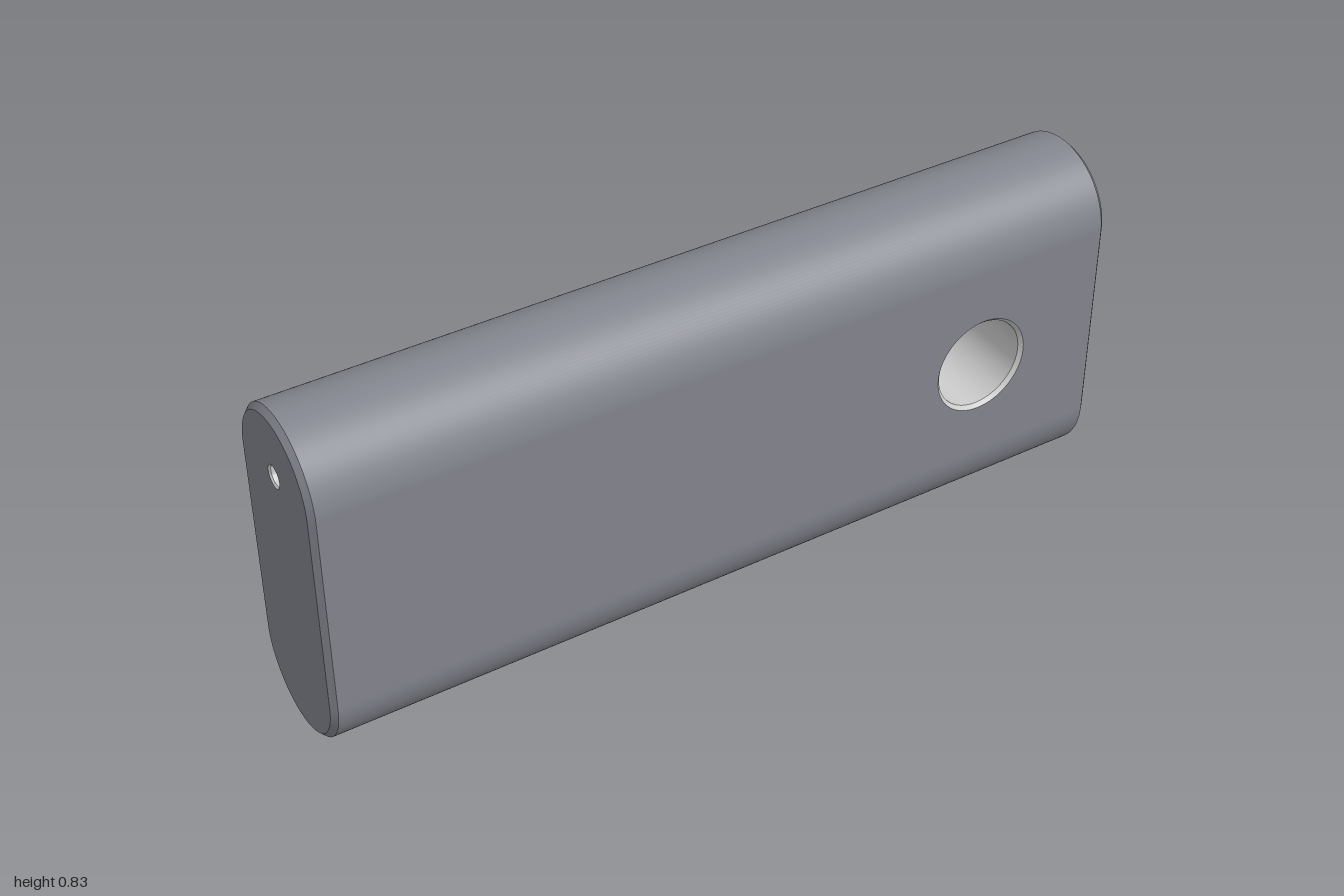
import * as THREE from 'three';
import { toCreasedNormals } from 'three/addons/utils/BufferGeometryUtils.js';

const R = 1 / 6, LOW = R, HIGH = 0.667, BEVEL = 0.013; // end radius, arc centres, end chamfer
const HALF = 1 - BEVEL;
const bodyMat = new THREE.MeshStandardMaterial({ color: 0x83858e });
const boreMat = new THREE.MeshStandardMaterial({ color: 0xcccccc });

function add(parent, name, geometry, material) {
  const mesh = new THREE.Mesh(geometry, material);
  mesh.name = name;
  parent.add(mesh);
  return mesh;
}

// Upright slot outline of the bar's cross-section
function slot(r) {
  const s = new THREE.Shape();
  s.absarc(0, HIGH, r, 0, Math.PI, false);
  s.absarc(0, LOW, r, Math.PI, Math.PI * 2, false);
  s.closePath();
  return s;
}

function withHole(shape, x, y, r) {
  shape.holes.push(new THREE.Path().absarc(x, y, r, 0, Math.PI * 2, true));
  return new THREE.ShapeGeometry(shape, 32);
}

// Inward-facing bore with its mouth at z = 0, running towards -z
function bore(profile) {
  const pts = profile.map(([r, z]) => new THREE.Vector2(r, z));
  return toCreasedNormals(new THREE.LatheGeometry(pts, 64).rotateX(Math.PI / 2), 0.5);
}

// Chamfer band between the full outline and the inset end cap
function chamferBand() {
  const outer = slot(R).getPoints(32), inner = slot(R - BEVEL).getPoints(32);
  const pos = [], index = [];
  outer.forEach((p, i) => {
    pos.push(p.x, p.y, -BEVEL, inner[i].x, inner[i].y, 0);
    if (i < outer.length - 1) {
      const a = i * 2;
      index.push(a, a + 2, a + 1, a + 1, a + 2, a + 3);
    }
  });
  const g = new THREE.BufferGeometry();
  g.setAttribute('position', new THREE.Float32BufferAttribute(pos, 3));
  g.setIndex(index);
  return toCreasedNormals(g, 0.5);
}

export function createModel() {
  const model = new THREE.Group();
  model.name = 'slottedBar';

  // Rounded top and bottom edges
  [['roundedTop', HIGH, 0], ['roundedBottom', LOW, Math.PI]].forEach(([name, y, start]) => {
    const g = new THREE.CylinderGeometry(R, R, HALF * 2, 64, 1, true, start, Math.PI);
    add(model, name, g.rotateZ(Math.PI / 2), bodyMat).position.y = y;
  });

  // Flat front and back, pierced by the cross hole
  const holeX = 0.665, holeY = 0.417, holeR = 0.113, mouthR = 0.122;
  const panel = (r, sx) => {
    const s = new THREE.Shape();
    s.moveTo(-HALF, LOW).lineTo(HALF, LOW).lineTo(HALF, HIGH).lineTo(-HALF, HIGH).closePath();
    return withHole(s, sx * holeX, holeY, r);
  };
  add(model, 'frontFace', panel(mouthR, 1), bodyMat).position.z = R;
  const back = add(model, 'backFace', panel(holeR, -1), bodyMat);
  back.rotation.y = Math.PI;
  back.position.z = -R;

  // Through hole, countersunk at the front
  const through = bore([[mouthR, 0], [holeR, -(mouthR - holeR)], [holeR, -2 * R]]);
  add(model, 'crossHole', through, boreMat).position.set(holeX, holeY, R);

  // Chamfered ends, each with a small blind hole
  for (const side of [1, -1]) {
    const end = new THREE.Group();
    end.name = side > 0 ? 'leftEnd' : 'rightEnd';
    add(end, 'endCap', withHole(slot(R - BEVEL), 0, 0.68, 0.027), bodyMat);
    add(end, 'endChamfer', chamferBand(), bodyMat);
    const pin = bore([[0.027, 0], [0.023, -0.004], [0.023, -0.12], [0, -0.12]]);
    add(end, 'pinHole', pin, boreMat).position.y = 0.68;
    end.rotation.y = side * Math.PI / 2;
    end.position.x = side;
    model.add(end);
  }
  return model;
}
